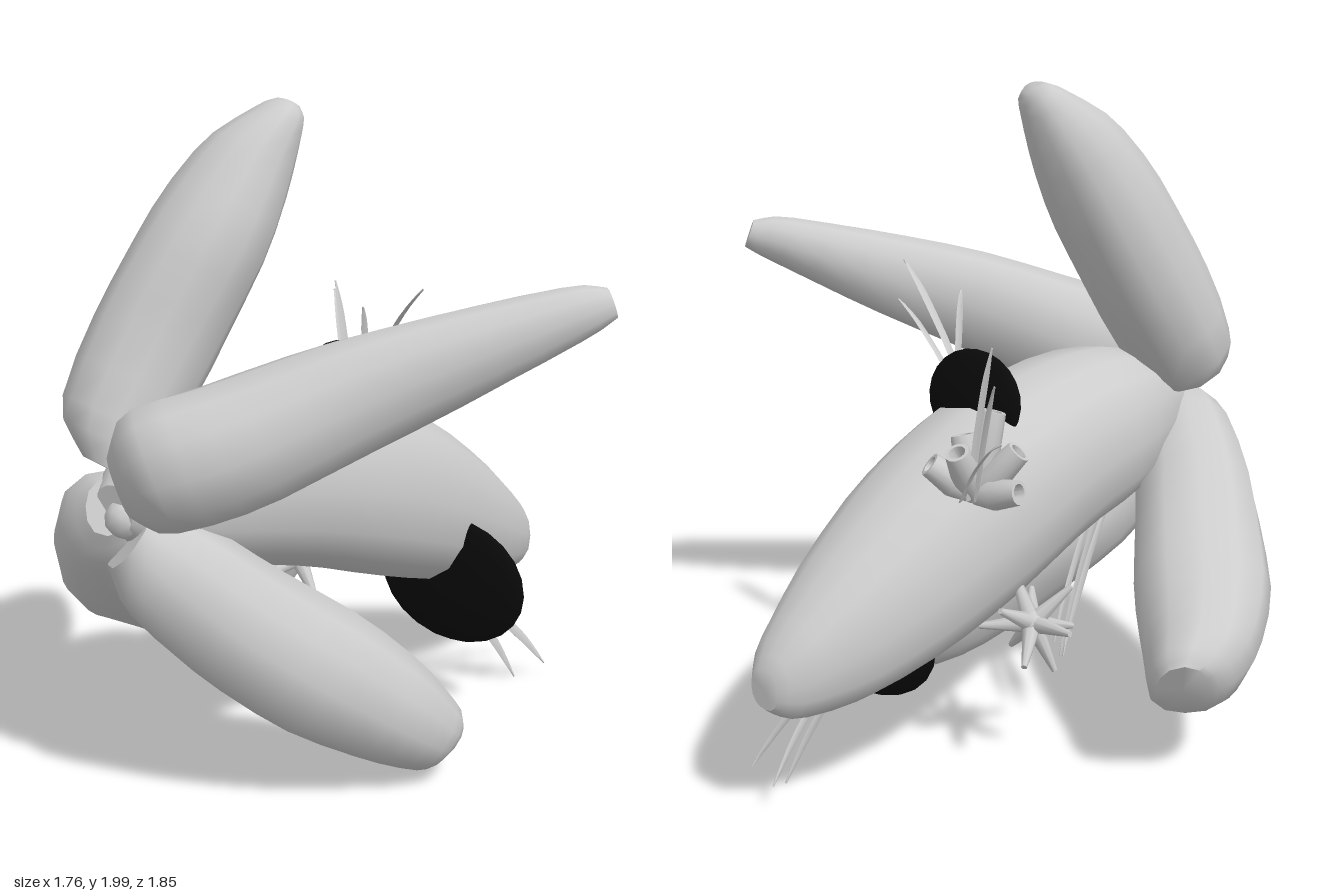
import * as THREE from 'three';
import { toCreasedNormals } from 'three/addons/utils/BufferGeometryUtils.js';

const V = (a) => new THREE.Vector3(a[0], a[1], a[2]);
const soft = (c, p) => Math.sign(c) * Math.abs(c) ** p;

// Closed loft. Stations are [x, y, z, ru, rv]; rings stand square to dir.
function loft(stations, { dir, ref = [0, 1, 0], sides = 12, rings = 16, bump = 0, seed = 0, square = 1 } = {}) {
  const d = dir ? V(dir) : V(stations.at(-1)).sub(V(stations[0]));
  d.normalize();
  const u = V(ref).cross(d).normalize();
  const v = d.clone().cross(u);
  const path = new THREE.CatmullRomCurve3(stations.map(V), false, 'catmullrom', 0.4);
  const radii = new THREE.CatmullRomCurve3(stations.map((s) => new THREE.Vector3(s[3], s[4], 0)), false, 'catmullrom', 0.4);
  const pos = [];
  const index = [];
  for (let i = 0; i <= rings; i++) {
    const t = i / rings;
    const c = path.getPoint(t);
    const r = radii.getPoint(t);
    for (let k = 0; k < sides; k++) {
      const a = (k / sides) * Math.PI * 2;
      const m = 1 + bump * (Math.sin(a * 3 + seed + t * 4) + 0.7 * Math.sin(a * 2 - t * 17 + seed * 2));
      const p = c.clone().addScaledVector(u, soft(Math.cos(a), square) * r.x * m)
        .addScaledVector(v, soft(Math.sin(a), square) * r.y * m);
      pos.push(p.x, p.y, p.z);
    }
  }
  for (let i = 0; i < rings; i++) {
    for (let k = 0; k < sides; k++) {
      const p = i * sides + k;
      const p1 = i * sides + ((k + 1) % sides);
      index.push(p, p1, p1 + sides, p, p1 + sides, p + sides);
    }
  }
  // End caps
  const first = path.getPoint(0);
  const last = path.getPoint(1);
  const s = pos.length / 3;
  pos.push(first.x, first.y, first.z, last.x, last.y, last.z);
  for (let k = 0; k < sides; k++) {
    const k1 = (k + 1) % sides;
    index.push(s, k1, k, s + 1, rings * sides + k, rings * sides + k1);
  }
  const g = new THREE.BufferGeometry();
  g.setAttribute('position', new THREE.Float32BufferAttribute(pos, 3));
  g.setIndex(index);
  return toCreasedNormals(g, 0.8);
}

export function createModel() {
  const group = new THREE.Group();
  const stone = new THREE.MeshStandardMaterial({ color: 0xcccccc });
  stone.name = 'pale grey';
  const black = new THREE.MeshStandardMaterial({ color: 0x0a0a0a });
  black.name = 'black';

  const add = (name, geometry, material = stone, parent = group) => {
    const mesh = new THREE.Mesh(geometry, material);
    mesh.name = name;
    parent.add(mesh);
    return mesh;
  };
  const cluster = (name) => {
    const g = new THREE.Group();
    g.name = name;
    group.add(g);
    return g;
  };

  // Large central boulder, running from front to back
  add('mainBoulder', loft([
    [-0.15, 0.92, 0.82, 0.07, 0.07],
    [-0.15, 0.92, 0.72, 0.14, 0.15],
    [-0.14, 0.91, 0.45, 0.22, 0.24],
    [-0.1, 0.87, 0.18, 0.25, 0.275],
    [-0.08, 0.78, -0.15, 0.265, 0.3],
    [-0.05, 0.67, -0.42, 0.24, 0.275],
    [-0.015, 0.545, -0.68, 0.18, 0.215],
    [0.01, 0.465, -0.86, 0.11, 0.13],
    [0.02, 0.44, -0.93, 0.05, 0.06],
  ], { dir: [0, 0, -1], bump: 0.015, seed: 1, rings: 20, sides: 16, square: 0.86 }));

  // Four long boulders fanning out from the front joint
  const boulders = {
    upperRightBoulder: [
      [-0.24, 1.01, 0.76, 0.08, 0.07],
      [-0.29, 1.1, 0.69, 0.165, 0.15],
      [-0.25, 1.36, 0.53, 0.185, 0.175],
      [-0.18, 1.62, 0.39, 0.185, 0.17],
      [-0.13, 1.83, 0.265, 0.14, 0.125],
      [-0.085, 1.95, 0.18, 0.085, 0.065],
      [-0.075, 1.985, 0.16, 0.045, 0.03],
    ],
    upperLeftBoulder: [
      [-0.12, 0.99, 0.83, 0.07, 0.09],
      [-0.03, 1.04, 0.8, 0.165, 0.18],
      [0.14, 1.11, 0.65, 0.175, 0.19],
      [0.37, 1.245, 0.41, 0.135, 0.16],
      [0.59, 1.36, 0.17, 0.105, 0.125],
      [0.79, 1.46, -0.04, 0.07, 0.075],
      [0.85, 1.48, -0.11, 0.035, 0.045],
    ],
    lowerRightBoulder: [
      [-0.18, 0.92, 0.81, 0.07, 0.08],
      [-0.26, 0.85, 0.74, 0.14, 0.15],
      [-0.43, 0.68, 0.55, 0.19, 0.18],
      [-0.61, 0.51, 0.31, 0.205, 0.18],
      [-0.73, 0.39, 0.11, 0.17, 0.17],
      [-0.77, 0.35, 0.0, 0.125, 0.15],
      [-0.78, 0.345, -0.05, 0.08, 0.11],
    ],
    lowerLeftBoulder: [
      [-0.15, 0.83, 0.77, 0.11, 0.1],
      [-0.1, 0.74, 0.7, 0.18, 0.16],
      [0.02, 0.57, 0.55, 0.215, 0.19],
      [0.18, 0.39, 0.36, 0.21, 0.195],
      [0.32, 0.225, 0.17, 0.165, 0.165],
      [0.4, 0.13, 0.06, 0.105, 0.115],
      [0.42, 0.11, 0.02, 0.06, 0.07],
    ],
  };
  Object.entries(boulders).forEach(([name, stations], i) => {
    add(name, loft(stations, { bump: 0.025, seed: i * 1.7 + 2, square: 0.92 }));
  });

  // Small pebble filling the front joint
  const pebble = add('jointPebble', new THREE.IcosahedronGeometry(0.06, 1));
  pebble.position.set(-0.14, 0.89, 0.79);

  // Black lens-shaped shelves growing out of the main boulder
  const shelf = (name, p, s, tilt) => {
    const m = add(name, new THREE.SphereGeometry(1, 28, 12), black);
    m.position.set(...p);
    m.scale.set(...s);
    m.rotation.x = tilt;
  };
  shelf('lowerShelf', [0.11, 0.43, -0.42], [0.28, 0.21, 0.043], 0);
  shelf('upperShelf', [-0.07, 1.1, -0.115], [0.17, 0.15, 0.036], 0.1);

  // Tufts of flat, arching blades
  const tuft = (name, base, tips) => {
    const g = cluster(name);
    tips.forEach((tip, i) => {
      const b = V(base).add(new THREE.Vector3(0.015 * (i - 1), 0, 0.015 * (1 - i)));
      const e = V(tip);
      const at = (t, w) => {
        const p = b.clone().lerp(e, t);
        return [p.x, p.y + 0.14 * t * (1 - t), p.z, w, 0.003];
      };
      add('blade', loft([at(0, 0.012), at(0.33, 0.016), at(0.7, 0.016), at(0.9, 0.009), at(1, 0.002)],
        { ref: [1, 0, 0], sides: 6, rings: 10 }), stone, g);
    });
  };
  tuft('lowerTuft', [0.1, 0.38, -0.46], [[0.17, 0.01, -0.71], [0.25, 0.06, -0.77], [0.08, 0.09, -0.85]]);
  tuft('sideTuft', [-0.26, 0.9, -0.38], [[-0.46, 1.3, -0.52], [-0.35, 1.36, -0.39], [-0.44, 1.12, -0.46]]);
  tuft('topTuft', [0, 1.06, -0.08], [[0.27, 1.46, -0.03], [0.33, 1.32, 0.01], [0.08, 1.39, 0.01]]);
  tuft('underTuft', [-0.2, 0.66, 0.36], [[-0.25, 0.25, 0.1], [-0.18, 0.2, 0.18], [-0.23, 0.3, 0.08]]);

  const up = new THREE.Vector3(0, 1, 0);
  const aim = (mesh, from, to) => {
    mesh.position.copy(from);
    mesh.quaternion.setFromUnitVectors(up, to.clone().sub(from).normalize());
  };

  // Cluster of hollow tubes
  const tubes = cluster('tubeCluster');
  const root = V([-0.25, 0.9, -0.34]);
  const tubeTips = [[-0.16, 1.0, -0.43], [-0.27, 1.14, -0.28], [-0.4, 0.94, -0.33],
    [-0.25, 1.05, -0.42], [-0.36, 1.04, -0.28], [-0.2, 1.07, -0.33]];
  for (const tip of tubeTips) {
    const e = V(tip);
    const h = root.distanceTo(e);
    const profile = [[0.025, 0], [0.046, h * 0.45], [0.036, h], [0.025, h], [0.02, h * 0.7], [0, h * 0.68]]
      .map(([x, y]) => new THREE.Vector2(x, y));
    aim(add('tube', toCreasedNormals(new THREE.LatheGeometry(profile, 12), 0.7), stone, tubes), root, e);
  }

  // Spiked star on the lower right flank, spikes spread evenly all round
  const star = cluster('spikedStar');
  const hub = V([-0.33, 0.475, -0.17]);
  const count = 10;
  for (let i = 0; i < count; i++) {
    const y = 1 - (2 * (i + 0.5)) / count;
    const r = Math.sqrt(1 - y * y);
    const dir = new THREE.Vector3(r * Math.cos(i * 2.4), y, r * Math.sin(i * 2.4));
    const cone = new THREE.CylinderGeometry(0.009, 0.03, 0.16, 8);
    cone.translate(0, 0.08, 0);
    aim(add('spike', cone, stone, star), hub, hub.clone().add(dir));
  }
  add('hub', new THREE.SphereGeometry(0.042, 12, 8), stone, star).position.copy(hub);

  return group;
}
